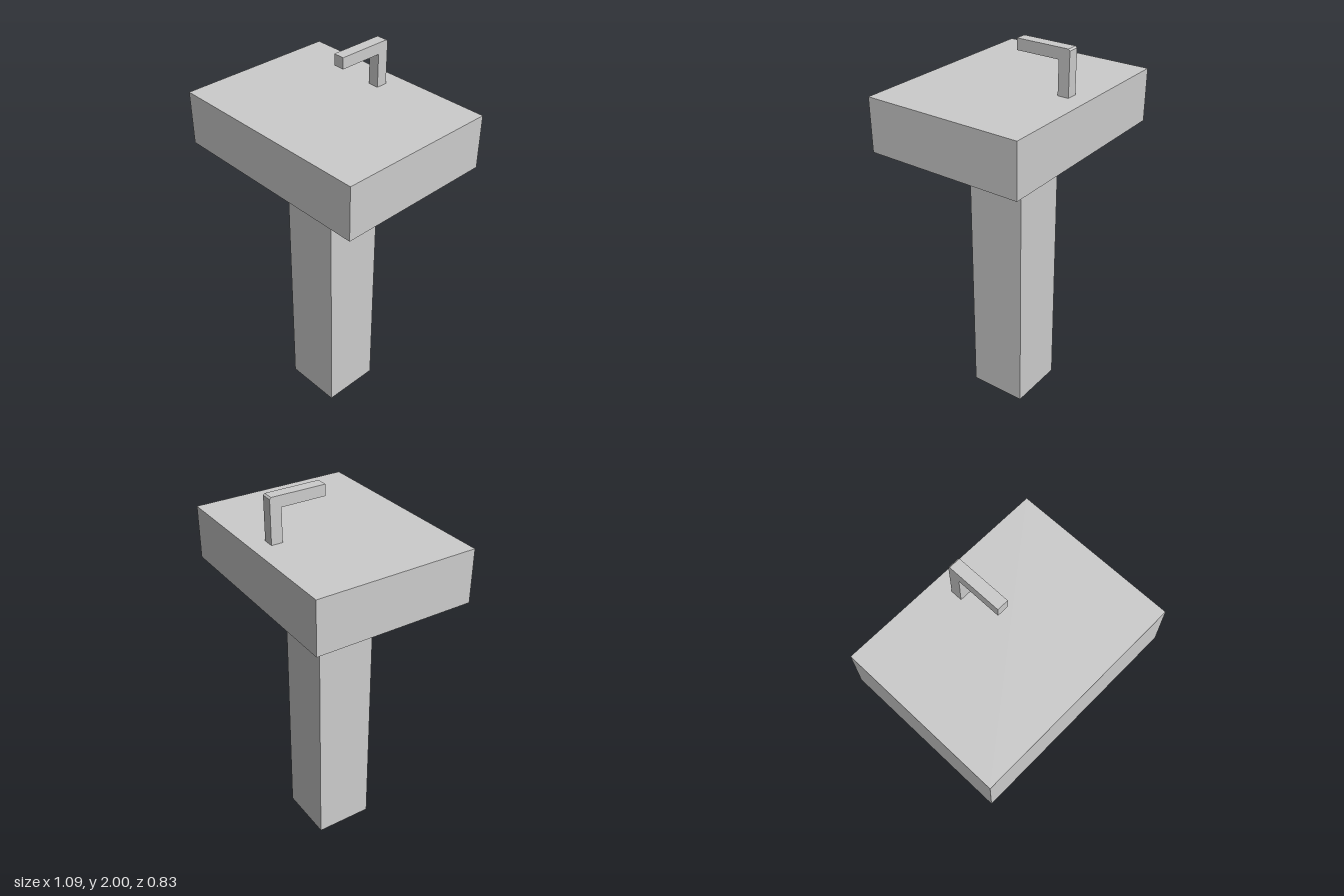
import * as THREE from 'three';

export function createModel() {
  const group = new THREE.Group();
  const ceramic = new THREE.MeshStandardMaterial({ color: 0xcccccc });
  ceramic.name = 'light grey';

  const add = (name, geometry, y) => {
    const mesh = new THREE.Mesh(geometry, ceramic);
    mesh.name = name;
    mesh.position.y = y;
    group.add(mesh);
    return mesh;
  };

  // Square pedestal and the basin block on top of it
  const pedestalHeight = 1.497, basinHeight = 0.276;
  add('pedestal', new THREE.BoxGeometry(0.313, pedestalHeight, 0.313), pedestalHeight / 2);
  add('basin', new THREE.BoxGeometry(1.094, basinHeight, 0.834), pedestalHeight + basinHeight / 2);

  // Angular tap: side profile as (distance behind centre, height), extruded across x
  const tapWidth = 0.058;
  const profile = new THREE.Shape([
    [0.267, 1.773], [0.325, 1.773], [0.325, 1.992], [0.317, 2],
    [0.038, 2], [0.038, 1.943], [0.267, 1.943],
  ].map(([z, y]) => new THREE.Vector2(z, y)));
  const tap = new THREE.ExtrudeGeometry(profile, { depth: tapWidth, bevelEnabled: false });
  tap.translate(0, 0, -tapWidth / 2);
  tap.rotateY(Math.PI / 2);
  add('tap', tap, 0);

  return group;
}
